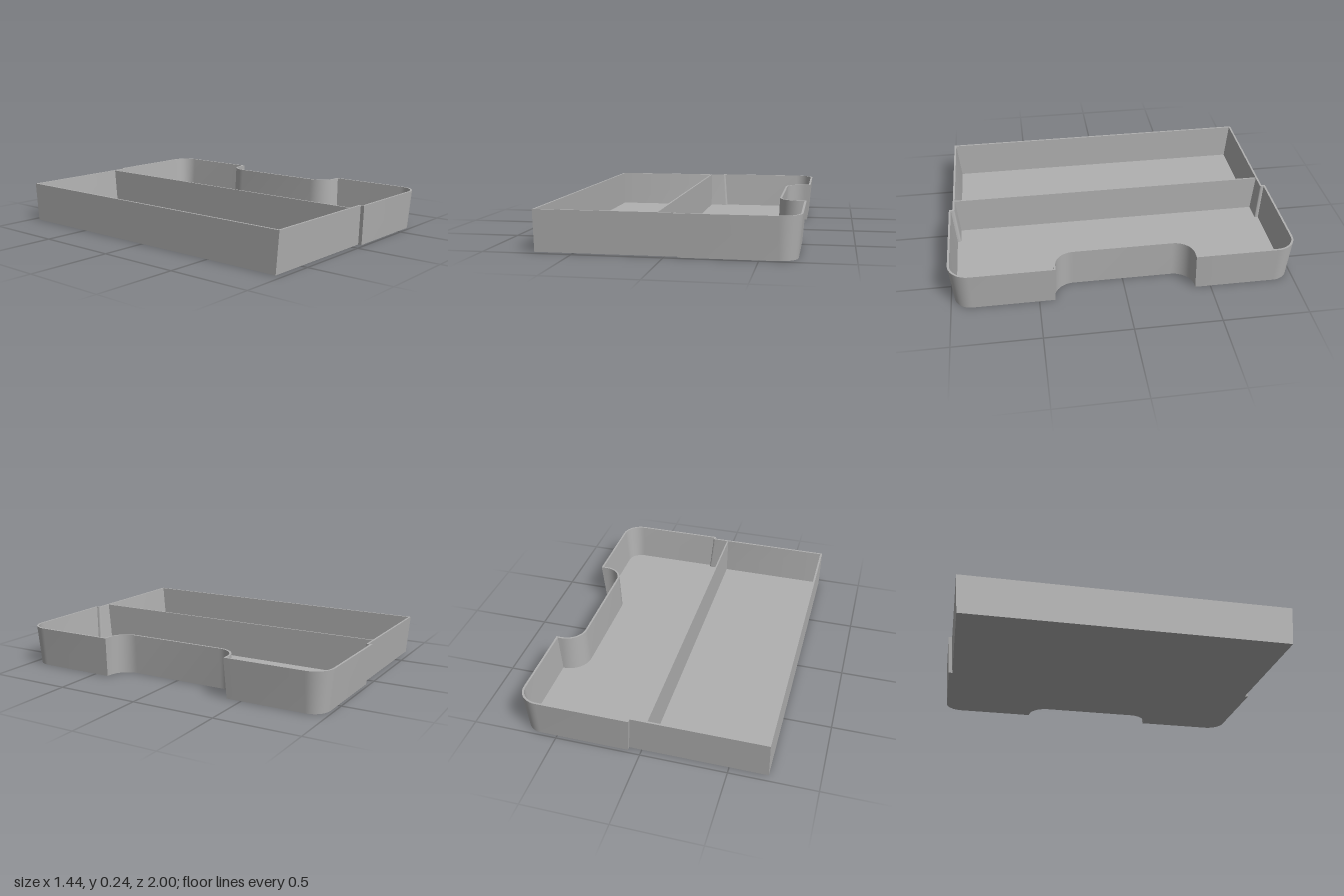
import * as THREE from 'three';
import { toCreasedNormals } from 'three/addons/utils/BufferGeometryUtils.js';

const H = 0.237, WALL = 0.012, FLOOR = 0.01, DRAFT = 0.02, NOTCH_DRAFT = 0.01;

// Plan outline [x, z] at a height, moved inwards by a thickness t
function outline(y, t) {
  const k = 1 - y / H;
  const d = DRAFT * k, D = d + t, N = NOTCH_DRAFT * k + t;
  const half = [];
  const arc = (cx, cz, r, from, to, steps) => {
    for (let i = 0; i <= steps; i++) {
      const a = from + (to - from) * i / steps;
      half.push([cx + r * Math.cos(a), cz + r * Math.sin(a)]);
    }
  };
  const q = Math.PI / 2;
  half.push([-0.72 + t, 0.978 - D]);
  arc(0.055 + d, 0.978 - d, t, -q, 0, 4);          // side step
  half.push([0.055 + D, 1 - D]);
  arc(0.6, 0.88, 0.12 - D, q, 0, 12);              // rounded corner
  half.push([0.72 - D, 0.4 + N]);
  arc(0.683, 0.29, 0.11 + N, q, 2 * q, 12);        // notch curve
  return half.concat(half.map(([x, z]) => [x, -z]).reverse());
}

// Outer wall, rim and inner wall as one strip of sections
function wallGeometry() {
  const sections = [[0, 0], [H, 0], [H, WALL], [FLOOR, WALL]];
  const rings = sections.map(([y, t]) =>
    outline(y, t).map(([x, z]) => new THREE.Vector3(x, y, z)));
  const pos = [];
  const tri = (a, b, c) => {
    if (new THREE.Triangle(a, b, c).getArea() > 1e-9)
      for (const p of [a, b, c]) pos.push(p.x, p.y, p.z);
  };
  for (let s = 0; s < rings.length - 1; s++) {
    const lo = rings[s], hi = rings[s + 1];
    for (let i = 0; i < lo.length; i++) {
      const j = (i + 1) % lo.length;
      tri(lo[i], lo[j], hi[j]);
      tri(lo[i], hi[j], hi[i]);
    }
  }
  const g = new THREE.BufferGeometry();
  g.setAttribute('position', new THREE.Float32BufferAttribute(pos, 3));
  return toCreasedNormals(g, 0.5);
}

// Flat face filling the outline, facing up (1) or down (-1)
function faceGeometry(y, t, up) {
  const shape = new THREE.Shape(outline(y, t).map(([x, z]) => new THREE.Vector2(x, -up * z)));
  return new THREE.ShapeGeometry(shape).rotateX(-up * Math.PI / 2).translate(0, y, 0);
}

// Divider whose ends lean with the side walls
function dividerGeometry() {
  const g = new THREE.BoxGeometry(0.01, H - 0.001, 2).translate(-0.038, (H - 0.001) / 2, 0);
  const p = g.attributes.position;
  for (let i = 0; i < p.count; i++)
    p.setZ(i, Math.sign(p.getZ(i)) * (0.972 - DRAFT * (1 - p.getY(i) / H)));
  g.computeVertexNormals();
  return g;
}

export function createModel() {
  const group = new THREE.Group();
  group.name = 'dividedTray';
  const grey = new THREE.MeshStandardMaterial({ color: 0xb0b0b0 });
  grey.name = 'grey plastic';
  const add = (name, geometry) => {
    const mesh = new THREE.Mesh(geometry, grey);
    mesh.name = name;
    group.add(mesh);
  };
  add('walls', wallGeometry());
  add('floor', faceGeometry(FLOOR, WALL, 1));
  add('underside', faceGeometry(0, 0, -1));
  add('divider', dividerGeometry());
  return group;
}
